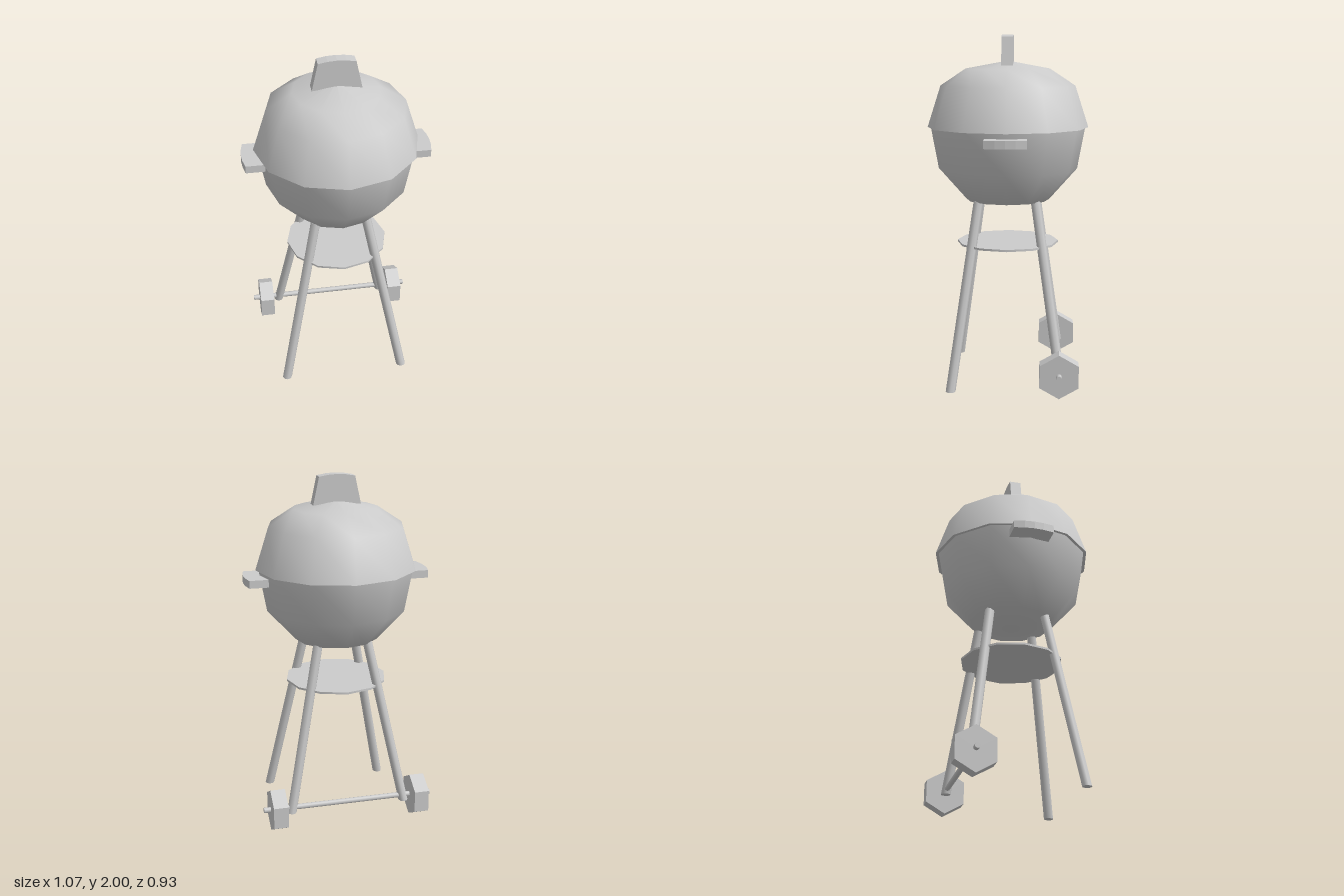
import * as THREE from 'three';

const grey = new THREE.MeshStandardMaterial({ color: 0xcccccc });
const greyDouble = new THREE.MeshStandardMaterial({ color: 0xcccccc, side: THREE.DoubleSide });

export function createModel() {
  const group = new THREE.Group();
  const add = (name, geometry, material = grey) => {
    const mesh = new THREE.Mesh(geometry, material);
    mesh.name = name;
    group.add(mesh);
    return mesh;
  };
  const lathe = (points) =>
    new THREE.LatheGeometry(points.map(([r, y]) => new THREE.Vector2(r, y)), 12);
  const extrude = (points, depth) =>
    new THREE.ExtrudeGeometry(new THREE.Shape(points.map(([x, y]) => new THREE.Vector2(x, y))),
      { depth, bevelEnabled: false });

  // Kettle: bowl, overhanging lid and the lip under its edge
  add('bowl', lathe([[0, 1.02], [0.243, 1.056], [0.403, 1.235], [0.447, 1.475]]), greyDouble);
  add('lid', lathe([[0.465, 1.475], [0.388, 1.713], [0.242, 1.81], [0, 1.855]]), greyDouble);
  add('lidLip', lathe([[0.44, 1.475], [0.465, 1.475]]), greyDouble);

  // Lid handle: tapered block with a gently arched top
  add('lidHandle', extrude([
    [-0.137, 1.83], [0, 1.845], [0.137, 1.83], [0.103, 1.988],
    [0.05, 1.997], [0, 2], [-0.05, 1.997], [-0.103, 1.988],
  ], 0.066).translate(0, 0, -0.033));

  // Side handles: flat slabs with a bowed outer edge
  for (const [name, side] of [['leftHandle', 1], ['rightHandle', -1]]) {
    const slab = extrude([
      [0.41, -0.115], [0.518, -0.115], [0.53, -0.055], [0.534, 0],
      [0.53, 0.055], [0.518, 0.115], [0.41, 0.115], [0.43, 0],
    ], 0.044).rotateX(Math.PI / 2).translate(0, 1.445, 0);
    if (side < 0) slab.rotateY(Math.PI);
    add(name, slab);
  }

  // Splayed legs, sheared so both ends stay level; rear pair stops at the axle
  const leg = (name, sx, sz, bottom) => {
    const top = 1.065;
    const geometry = new THREE.CylinderGeometry(0.028, 0.028, top - bottom, 8);
    geometry.translate(0, (top + bottom) / 2, 0);
    geometry.applyMatrix4(new THREE.Matrix4().set(
      1, -0.2 * sx, 0, 0.357 * sx,
      0, 1, 0, 0,
      0, -0.143 * sz, 1, 0.315 * sz,
      0, 0, 0, 1));
    add(name, geometry);
  };
  for (const [side, sx] of [['Left', 1], ['Right', -1]]) {
    leg('front' + side + 'Leg', sx, 1, 0);
    leg('rear' + side + 'Leg', sx, -1, 0.1);

    // Six-sided wheel standing on a corner
    const wheel = new THREE.CylinderGeometry(0.126, 0.126, 0.085, 6).toNonIndexed();
    wheel.computeVertexNormals();
    wheel.rotateY(Math.PI / 2).rotateZ(Math.PI / 2);
    add('wheel' + side, wheel).position.set(sx * 0.418, 0.126, -0.297);
  }

  // Axle and shelf
  const axle = new THREE.CylinderGeometry(0.016, 0.016, 1, 8).rotateZ(Math.PI / 2);
  add('axle', axle).position.set(0, 0.13, -0.297);
  add('shelf', new THREE.CylinderGeometry(0.295, 0.295, 0.012, 12)).position.y = 0.804;

  return group;
}
